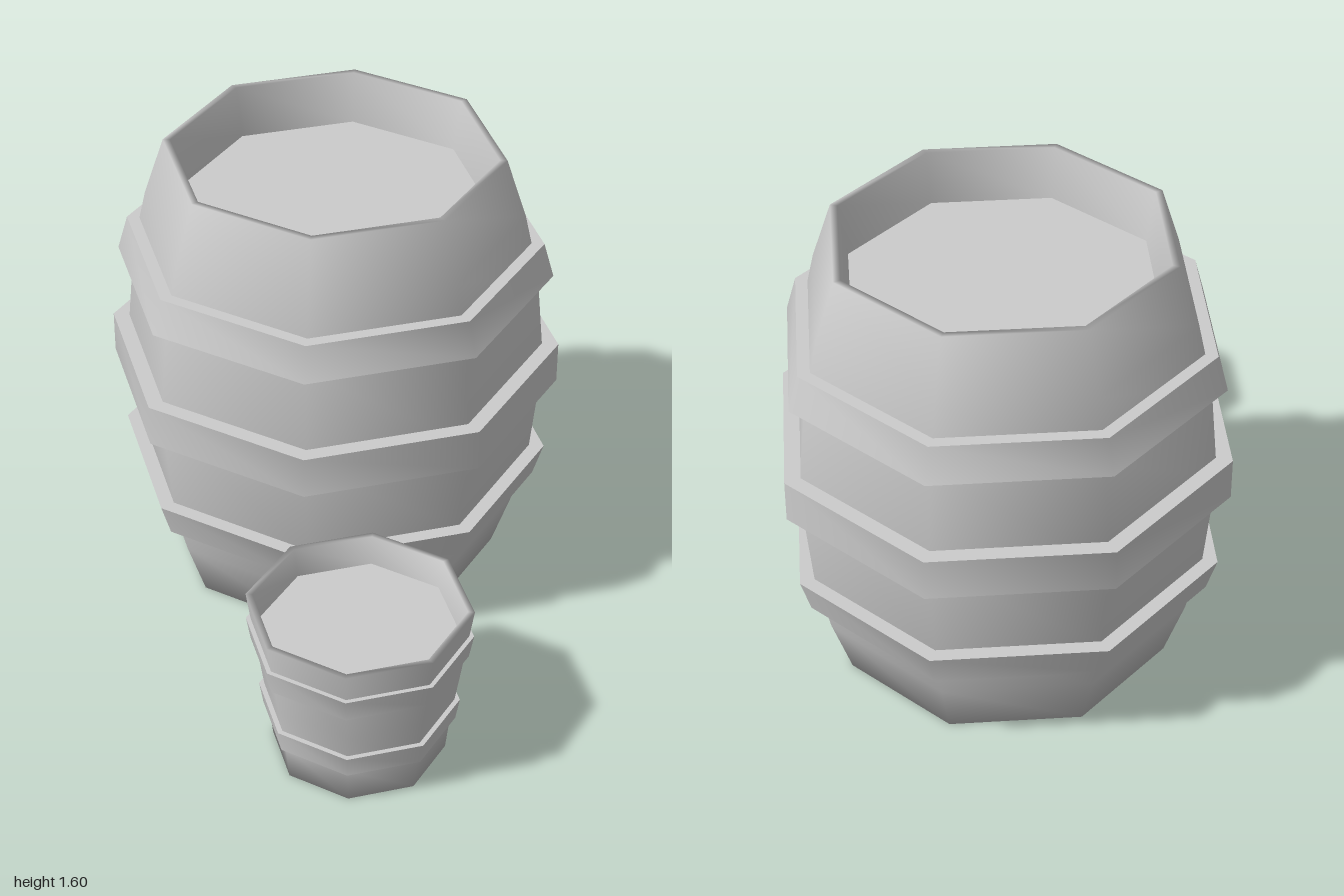
import * as THREE from 'three';
import { toCreasedNormals } from 'three/addons/utils/BufferGeometryUtils.js';

const SIDES = 8;
const PHI = THREE.MathUtils.degToRad(30);
const material = new THREE.MeshStandardMaterial({ color: 0xcccccc });

// Eight-sided turned shape from [radius, height] pairs
function turned(profile) {
  const points = profile.map(([r, y]) => new THREE.Vector2(r, y));
  return new THREE.LatheGeometry(points, SIDES, PHI);
}

function addPart(group, name, geometry) {
  const mesh = new THREE.Mesh(geometry, material);
  mesh.name = name;
  group.add(mesh);
}

// Closed band: outer wall flares from (r0, y0) to (r1, y1)
function hoop(r0, y0, r1, y1, depth) {
  const ring = [[r0 - depth, y0], [r0, y0], [r1, y1], [r1 - depth, y1], [r0 - depth, y0]];
  return toCreasedNormals(turned(ring), THREE.MathUtils.degToRad(55));
}

// Staved vessel: bottom, outer wall, rim and inner wall, closed by a sunken lid
function vessel(name, wall, inner, hoops, depth) {
  const group = new THREE.Group();
  group.name = name;
  addPart(group, name + 'Body', turned([[0, 0], ...wall, ...inner]));
  const [lidRadius, lidY] = inner[inner.length - 1];
  addPart(group, name + 'Lid', turned([[lidRadius, lidY], [0, lidY]]));
  hoops.forEach((h, i) => addPart(group, name + 'Hoop' + (i + 1), hoop(...h, depth)));
  return group;
}

export function createModel() {
  const model = new THREE.Group();
  model.name = 'barrelAndBucket';

  // Large bulging barrel
  const barrel = vessel(
    'barrel',
    [[0.585, 0], [0.655, 0.21], [0.705, 0.43], [0.74, 0.8], [0.705, 1.17], [0.655, 1.39], [0.585, 1.6]],
    [[0.56, 1.6], [0.53, 1.42]],
    [[0.723, 0.32, 0.759, 0.44], [0.79, 0.73, 0.79, 0.88], [0.759, 1.16, 0.723, 1.285]],
    0.09
  );
  barrel.position.set(-0.185, 0, -0.2375);
  model.add(barrel);

  // Small tapered bucket
  const bucket = vessel(
    'bucket',
    [[0.29, 0], [0.304, 0.13], [0.33, 0.3], [0.372, 0.585]],
    [[0.35, 0.585], [0.332, 0.485]],
    [[0.321, 0.13, 0.334, 0.21], [0.358, 0.4, 0.373, 0.485]],
    0.035
  );
  bucket.position.set(0.582, 0, 0.635);
  model.add(bucket);

  return model;
}
